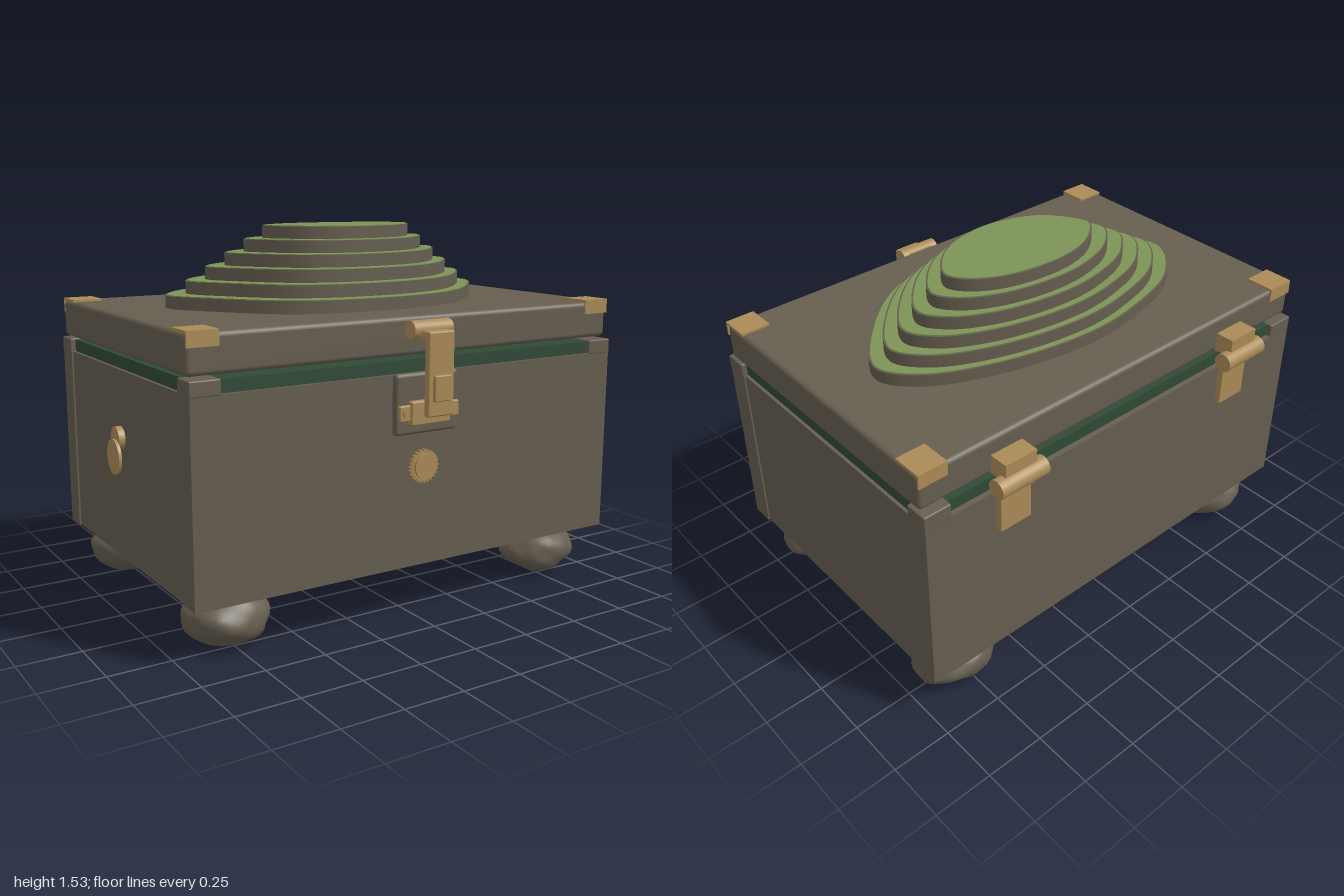
import * as THREE from 'three';
import { mergeVertices, toCreasedNormals } from 'three/addons/utils/BufferGeometryUtils.js';
import { RoundedBoxGeometry } from 'three/addons/geometries/RoundedBoxGeometry.js';

const mat = (name, color) => {
  const m = new THREE.MeshStandardMaterial({ color });
  m.name = name;
  return m;
};

export function createModel() {
  const root = new THREE.Group();
  root.name = 'terracedChest';
  const stone = mat('stone brown', 0x665e50);
  const brass = mat('aged brass', 0xab8b58);
  const moss = mat('moss green', 0x7c9457);
  const liner = mat('dark green', 0x304a36);
  const CX = 0.015;

  const add = (name, geo, material, parent = root) => {
    const m = new THREE.Mesh(geo, material);
    m.name = name;
    parent.add(m);
    return m;
  };
  // Box given by its limits, optionally with rounded edges
  const box = (name, x0, x1, y0, y1, z0, z1, material, r = 0, parent = root) => {
    const s = [x1 - x0, y1 - y0, z1 - z0];
    const geo = r ? new RoundedBoxGeometry(...s, 3, r) : new THREE.BoxGeometry(...s);
    geo.translate((x0 + x1) / 2, (y0 + y1) / 2, (z0 + z1) / 2);
    return add(name, geo, material, parent);
  };
  // Cylinder lying along one axis
  const rod = (name, axis, r, len, x, y, z, material, parent = root, seg = 24) => {
    const geo = new THREE.CylinderGeometry(r, r, len, seg);
    if (axis === 'x') geo.rotateZ(Math.PI / 2);
    if (axis === 'z') geo.rotateX(Math.PI / 2);
    geo.translate(x, y, z);
    return add(name, geo, material, parent);
  };
  const group = (name) => {
    const g = new THREE.Group();
    g.name = name;
    root.add(g);
    return g;
  };

  // Chest body: thick front and back slabs, slightly recessed sides
  box('basePlate', -0.885, 0.91, 0.187, 0.225, -0.585, 0.535, stone, 0.01);
  box('frontPanel', -0.965, 0.995, 0.22, 0.995, 0.532, 0.632, stone);
  box('backPanel', -0.965, 0.995, 0.22, 0.995, -0.677, -0.577, stone);
  box('sidePanels', -0.958, 0.988, 0.22, 0.995, -0.577, 0.532, stone);
  box('innerLiner', -0.945, 0.975, 0.99, 1.045, -0.655, 0.618, liner);
  for (const [x0, x1] of [[-0.968, -0.845], [0.88, 0.998]])
    for (const [z0, z1] of [[-0.678, -0.58], [0.535, 0.634]])
      box('rimCornerBlock', x0, x1, 0.99, 1.05, z0, z1, stone, 0.006);

  // Lid with brass corner caps
  box('lid', -0.965, 0.995, 1.058, 1.21, -0.65, 0.606, stone, 0.02);
  for (const [x0, x1] of [[-0.962, -0.838], [0.872, 0.995]])
    for (const s of [1, -1]) {
      const edge = s > 0 ? 0.611 : -0.655;
      const inner = edge - s * 0.125, lip = edge - s * 0.008;
      box('cornerCapTop', x0, x1, 1.208, 1.219, Math.min(edge, inner), Math.max(edge, inner), brass);
      box('cornerCapLip', x0, x1, 1.16, 1.212, Math.min(edge, lip), Math.max(edge, lip), brass);
    }

  // Terraced hill: each tier blends from the wide outline to the small one
  const wide = [[-0.715, -0.12], [-0.56, -0.315], [-0.28, -0.415], [0, -0.445], [0.4, -0.375], [0.68, -0.24],
    [0.772, -0.1], [0.62, 0.135], [0.36, 0.335], [0, 0.405], [-0.38, 0.33], [-0.61, 0.08]];
  const small = [[-0.262, -0.145], [-0.18, -0.23], [-0.08, -0.275], [0.055, -0.292], [0.26, -0.262], [0.39, -0.19],
    [0.44, -0.11], [0.385, -0.01], [0.26, 0.078], [0.055, 0.108], [-0.13, 0.05], [-0.22, -0.04]];
  const outline = (t, inset) => {
    const pts = wide.map(([x, z], i) => new THREE.Vector3(
      x + (small[i][0] - x) * t, 0, z + (small[i][1] - z) * t));
    const curve = new THREE.CatmullRomCurve3(pts, true, 'centripetal');
    return new THREE.Shape(curve.getPoints(96).slice(0, 96).map((p, i) => {
      const d = curve.getTangent(i / 96);
      return new THREE.Vector2(p.x - d.z * inset, -(p.z + d.x * inset));
    }));
  };
  const slab = (shape, y, depth) => {
    const geo = new THREE.ExtrudeGeometry(shape, { depth, bevelEnabled: false });
    geo.rotateX(-Math.PI / 2).translate(0, y, 0);
    return toCreasedNormals(geo, 0.5);
  };
  const hill = group('terracedHill');
  for (let i = 0; i < 6; i++) {
    const y = 1.205 + i * 0.0535;
    add('tier', slab(outline(i / 5, 0), y, 0.0555), stone, hill);
    add('tierGrass', slab(outline(i / 5, 0.007), y + 0.0545, 0.004), moss, hill);
  }

  // Boulder feet: lumpy flattened spheres
  const boulder = (seed) => {
    let geo = new THREE.IcosahedronGeometry(1, 6);
    geo.deleteAttribute('uv');
    geo.deleteAttribute('normal');
    geo = mergeVertices(geo, 1e-4);
    const p = geo.attributes.position;
    const v = new THREE.Vector3();
    for (let i = 0; i < p.count; i++) {
      v.fromBufferAttribute(p, i);
      const n = Math.sin(v.x * 3.1 + seed) * Math.cos(v.z * 3.7 - seed)
        + 0.6 * Math.sin(v.y * 5.3 + v.x * 4.1 + seed * 2)
        + 0.4 * Math.sin(v.z * 9 + v.y * 7 + seed * 3) * Math.cos(v.x * 8 - seed);
      v.multiplyScalar(1 + 0.05 * n);
      p.setXYZ(i, v.x * 0.172, v.y * 0.105, v.z * 0.148);
    }
    geo.computeVertexNormals();
    return geo;
  };
  [[-0.757, 0.456], [0.787, 0.456], [-0.757, -0.507], [0.787, -0.507]].forEach(([x, z], i) =>
    add('boulderFoot', boulder(1.3 + i * 1.7), stone).position.set(x, 0.112, z));

  // Front latch
  const latch = group('frontLatch');
  box('latchBackplate', CX - 0.147, CX + 0.147, 0.76, 1.0, 0.625, 0.66, stone, 0.015, latch);
  box('latchMount', CX - 0.06, CX + 0.06, 1.14, 1.19, 0.6, 0.65, brass, 0, latch);
  rod('latchPivot', 'x', 0.036, 0.18, CX, 1.165, 0.662, brass, latch);
  box('latchArm', CX - 0.06, CX + 0.06, 1.125, 1.165, 0.672, 0.745, brass, 0.008, latch);
  box('latchStrap', CX - 0.06, CX + 0.06, 0.84, 1.155, 0.715, 0.745, brass, 0.008, latch);
  box('latchTab', CX - 0.04, CX + 0.04, 0.9, 1.0, 0.74, 0.76, brass, 0.005, latch);
  box('catchBlock', CX - 0.092, CX + 0.092, 0.8, 0.895, 0.655, 0.686, brass, 0.008, latch);
  box('catchEars', CX - 0.14, CX + 0.14, 0.818, 0.88, 0.655, 0.676, brass, 0.006, latch);
  for (const s of [-1, 1]) rod('catchScrew', 'z', 0.014, 0.012, CX + s * 0.115, 0.85, 0.68, brass, latch, 12);

  // Round knob with a notched rim
  const knob = group('frontKnob');
  rod('knobRim', 'z', 0.06, 0.02, CX, 0.625, 0.638, brass, knob, 32);
  rod('knobFace', 'z', 0.05, 0.03, CX, 0.625, 0.642, brass, knob, 32);
  for (let i = 0; i < 24; i++) {
    const a = (i / 24) * Math.PI * 2;
    const tooth = add('knobTooth', new THREE.BoxGeometry(0.014, 0.009, 0.018), brass, knob);
    tooth.position.set(CX + Math.cos(a) * 0.06, 0.625 + Math.sin(a) * 0.06, 0.638);
    tooth.rotation.z = a;
  }

  // Swinging keyhole cover on the right side
  const cover = group('keyholeCover');
  rod('coverPivot', 'x', 0.046, 0.026, -0.973, 0.724, -0.035, brass, cover);
  rod('coverPlate', 'x', 0.066, 0.012, 0, 0, 0, brass, cover, 32).position.set(-0.991, 0.65, -0.035);
  cover.children[1].scale.y = 1.08;

  // Back hinges
  for (const x of [-0.583, 0.61]) {
    const hinge = group('hinge');
    rod('hingeBarrel', 'x', 0.039, 0.218, x, 1.048, -0.722, brass, hinge);
    box('hingeUpperLeaf', x - 0.072, x + 0.072, 1.06, 1.14, -0.73, -0.645, brass, 0, hinge);
    box('hingeLowerLeaf', x - 0.072, x + 0.072, 0.815, 1.0, -0.703, -0.672, brass, 0.005, hinge);
    box('hingeNeck', x - 0.072, x + 0.072, 0.985, 1.04, -0.72, -0.685, brass, 0, hinge);
  }
  return root;
}
